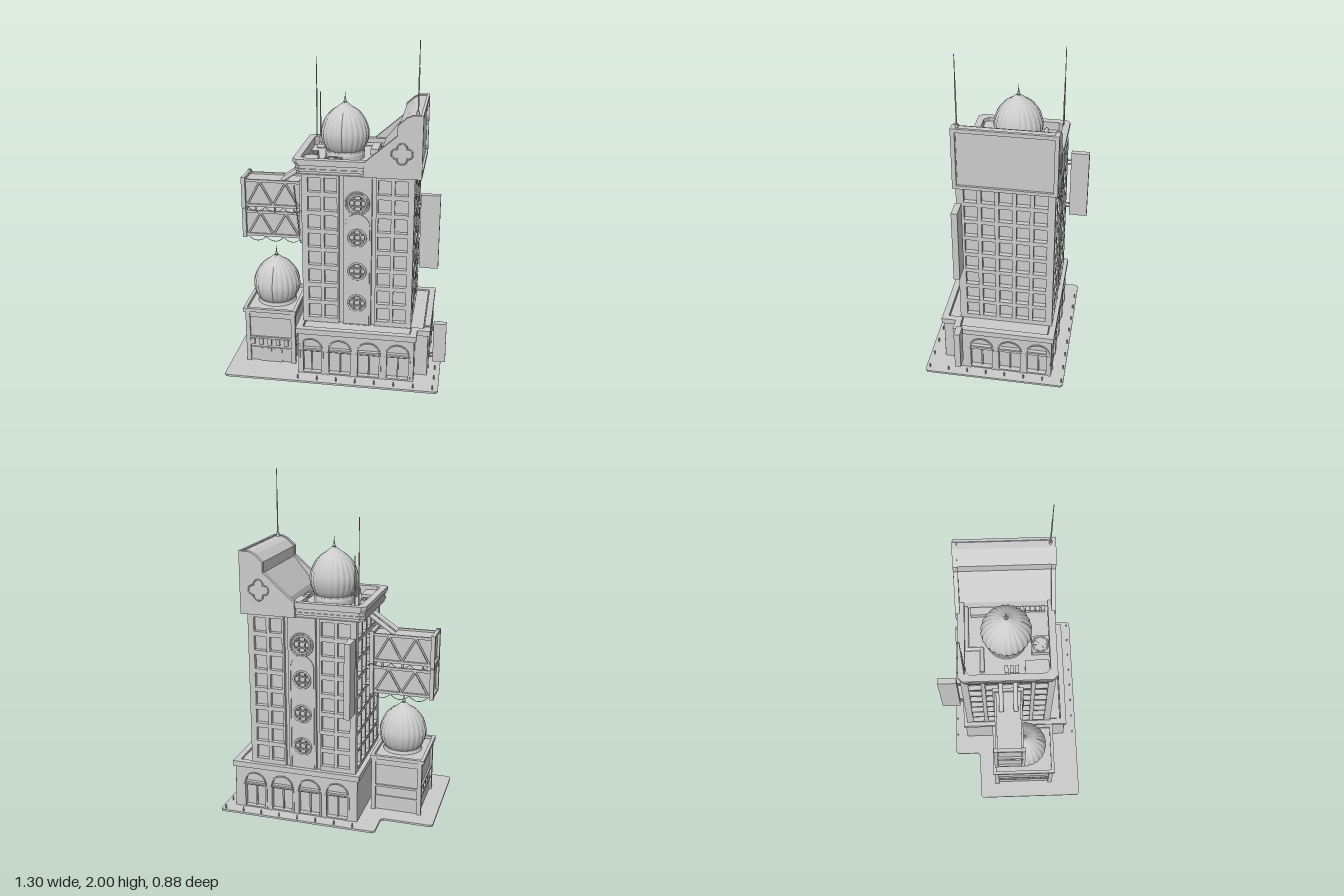
import * as THREE from 'three';

const mat = new THREE.MeshStandardMaterial({ color: 0xcccccc, side: THREE.DoubleSide });
const V = (x, y, z) => new THREE.Vector3(x, y, z);

function add(parent, name, geo, x = 0, y = 0, z = 0) {
  const m = new THREE.Mesh(geo, mat);
  m.name = name;
  m.position.set(x, y, z);
  parent.add(m);
  return m;
}
// box given by its limits
const box = (p, name, x0, x1, y0, y1, z0, z1) =>
  add(p, name, new THREE.BoxGeometry(x1 - x0, y1 - y0, z1 - z0), (x0 + x1) / 2, (y0 + y1) / 2, (z0 + z1) / 2);
// rod between two points
function rod(p, name, a, b, r, sides = 8) {
  const m = add(p, name, new THREE.CylinderGeometry(r, r, a.distanceTo(b), sides));
  m.position.copy(a).add(b).multiplyScalar(0.5);
  m.quaternion.setFromUnitVectors(V(0, 1, 0), b.clone().sub(a).normalize());
  return m;
}
const poly = (pts) => new THREE.Shape(pts.map(([x, y]) => new THREE.Vector2(x, y)));
const rect = (x0, x1, y0, y1) => poly([[x0, y0], [x1, y0], [x1, y1], [x0, y1]]);
const extrude = (shape, depth) => new THREE.ExtrudeGeometry(shape, { depth, bevelEnabled: false, curveSegments: 14 });
// horizontal slab from an (x, z) outline
function slab(p, name, pts, y0, y1, hole) {
  const s = poly(pts.map(([x, z]) => [x, -z]));
  if (hole) s.holes.push(poly(hole.map(([x, z]) => [x, -z])));
  const m = add(p, name, extrude(s, y1 - y0), 0, y0, 0);
  m.rotation.x = -Math.PI / 2;
  return m;
}
function archShape(x, w, y0, top) {
  const s = new THREE.Shape(), r = w / 2;
  s.moveTo(x - r, y0);
  s.lineTo(x + r, y0);
  s.lineTo(x + r, top - r);
  s.absarc(x, top - r, r, 0, Math.PI, false);
  s.closePath();
  return s;
}
const circle = (x, y, r) => new THREE.Shape().absarc(x, y, r, 0, Math.PI * 2, false);
// local frame of one wall: x along the wall, z outward
function wall(p, name, cx, cz, turn, dist) {
  const g = new THREE.Group();
  g.name = name;
  g.rotation.y = turn * Math.PI / 2;
  g.position.set(cx + Math.sin(g.rotation.y) * dist, 0, cz + Math.cos(g.rotation.y) * dist);
  p.add(g);
  return g;
}

// ribbed onion dome with a finial
function dome(p, name, x, y, z) {
  const g = new THREE.Group();
  g.name = name;
  g.position.set(x, y, z);
  p.add(g);
  const prof = [[0.105, 0], [0.128, 0.035], [0.142, 0.085], [0.14, 0.13], [0.12, 0.185], [0.085, 0.23], [0.045, 0.258], [0.012, 0.285]];
  const curve = new THREE.SplineCurve(prof.map(([a, b]) => new THREE.Vector2(a, b)));
  const geo = new THREE.LatheGeometry(curve.getPoints(28), 144);
  const a = geo.attributes.position;
  for (let i = 0; i < a.count; i++) {
    const k = 0.955 + 0.045 * Math.abs(Math.sin(12 * Math.atan2(a.getX(i), a.getZ(i))));
    a.setXYZ(i, a.getX(i) * k, a.getY(i), a.getZ(i) * k);
  }
  geo.computeVertexNormals();
  add(g, 'domeShell', geo);
  add(g, 'domeCollar', new THREE.CylinderGeometry(0.112, 0.118, 0.02, 40), 0, -0.002, 0);
  add(g, 'finialBall', new THREE.SphereGeometry(0.009, 12, 8), 0, 0.293, 0);
  add(g, 'finialSpike', new THREE.ConeGeometry(0.005, 0.05, 8), 0, 0.322, 0);
}

function arcade(p, name, g, x0, x1, centres) {
  const s = rect(x0, x1, 0.012, 0.28);
  centres.forEach(c => s.holes.push(archShape(c, 0.13, 0.02, 0.24)));
  add(g, name, extrude(s, 0.03));
  centres.forEach(c => {
    box(g, 'archTransom', c - 0.065, c + 0.065, 0.155, 0.175, 0, 0.022);
    box(g, 'doorPost', c - 0.004, c + 0.004, 0.012, 0.16, 0, 0.012);
    for (const k of [-1, 1]) box(g, 'archPier', c + k * 0.07 - 0.006, c + k * 0.07 + 0.006, 0.012, 0.165, 0.02, 0.036);
    const rim = archShape(c, 0.144, 0.165, 0.247);
    rim.holes.push(archShape(c, 0.13, 0.165, 0.24));
    add(g, 'archRim', extrude(rim, 0.036));
  });
}

function windowGrid(g, x0, x1, cols) {
  const s = rect(x0, x1, 0.31, 1.236);
  for (const c of cols) for (let i = 0; i < 8; i++) {
    const y = 0.385 + i * 0.113;
    s.holes.push(rect(c - 0.037, c + 0.037, y - 0.042, y + 0.042));
    box(g, 'windowSill', c - 0.04, c + 0.04, y - 0.05, y - 0.042, 0.004, 0.028);
  }
  add(g, 'windowGrid', extrude(s, 0.024));
}

function roundWindowBay(g) {
  const ys = [0.45, 0.655, 0.865, 1.075];
  const s = rect(-0.083, 0.083, 0.31, 1.236);
  ys.forEach(y => s.holes.push(circle(0, y, 0.05)));
  add(g, 'centreBay', extrude(s, 0.022));
  for (const y of ys) {
    add(g, 'roundWindowRing', new THREE.TorusGeometry(0.05, 0.006, 8, 32), 0, y, 0.022);
    for (const o of [-0.018, 0.018]) {
      box(g, 'mullion', o - 0.003, o + 0.003, y - 0.047, y + 0.047, 0.01, 0.024);
      box(g, 'crossbar', -0.047, 0.047, y + o - 0.003, y + o + 0.003, 0.01, 0.024);
    }
  }
  add(g, 'topWindowHalo', new THREE.TorusGeometry(0.067, 0.005, 8, 36), 0, 1.075, 0.022);
  const arch = archShape(0, 0.146, 0.31, 1.012);
  arch.holes.push(archShape(0, 0.134, 0.312, 1.006));
  add(g, 'tallArchTrim', extrude(arch, 0.028));
}

// one boxed truss sign
function trussBox(p, y0, y1) {
  const x0 = -0.61, x1 = -0.238, z0 = -0.115, z1 = 0.045;
  box(p, 'trussCore', x0 + 0.01, x1 - 0.01, y0 + 0.012, y1 - 0.012, z0 + 0.012, z1 - 0.012);
  for (const y of [y0 + 0.008, y1 - 0.008]) for (const z of [z0 + 0.006, z1 - 0.006])
    box(p, 'trussChord', x0, x1, y - 0.008, y + 0.008, z - 0.006, z + 0.006);
  for (const x of [x0 + 0.008, x1 - 0.008]) {
    for (const z of [z0, z1]) box(p, 'trussEndPost', x - 0.012, x + 0.012, y0 - 0.008, y1 + 0.012, z - 0.01, z + 0.01);
    for (const y of [y0, y1]) box(p, 'trussEndRail', x - 0.01, x + 0.01, y - 0.007, y + 0.01, z0, z1);
  }
  for (const z of [z0 + 0.006, z1 - 0.006]) for (let i = 0; i < 4; i++) {
    const a = x0 + 0.03 + i * 0.078, up = i % 2 === 0;
    rod(p, 'trussDiagonal', V(a, up ? y0 + 0.015 : y1 - 0.015, z), V(a + 0.078, up ? y1 - 0.015 : y0 + 0.015, z), 0.006, 6);
  }
  for (const z of [z0, z1]) for (let i = 0; i < 3; i++) {
    const a = x0 + 0.03 + i * 0.11;
    const c = new THREE.QuadraticBezierCurve3(V(a, y0, z), V(a + 0.055, y0 - 0.055, z), V(a + 0.11, y0, z));
    add(p, 'hangingWire', new THREE.TubeGeometry(c, 12, 0.002, 5));
  }
}

export function createModel() {
  const root = new THREE.Group();
  root.name = 'building';

  // pavement and bollards
  slab(root, 'pavement', [[-0.655, 0.42], [-0.64, 0.435], [0.605, 0.435], [0.62, 0.42], [0.62, -0.385], [0.605, -0.4],
    [-0.33, -0.4], [-0.345, -0.385], [-0.345, -0.25], [-0.36, -0.235], [-0.64, -0.235], [-0.655, -0.22]], 0, 0.012);
  const bollard = (x, z) => add(root, 'bollard', new THREE.CylinderGeometry(0.004, 0.004, 0.03, 8), x, 0.025, z);
  for (let i = 0; i < 8; i++) { bollard(-0.21 + i * 0.114, 0.41); bollard(-0.21 + i * 0.114, -0.388); }
  for (let i = 1; i < 7; i++) bollard(0.59, 0.41 - i * 0.114);

  // podium with a notched front corner
  const foot = (o, low = -0.32 - o) => [[-0.22 - o, 0.34 + o], [0.47 + o, 0.34 + o], [0.47 + o, 0.255 + o], [0.545 + o, 0.255 + o], [0.545 + o, low], [-0.22 - o, low]];
  slab(root, 'podiumCore', foot(-0.03), 0.012, 0.305);
  slab(root, 'podiumCornice', foot(0.012), 0.278, 0.312, foot(-0.025));
  arcade(root, 'frontArcade', wall(root, 'podiumFront', 0, 0, 0, 0.31), -0.22, 0.47, [-0.143, 0.03, 0.202, 0.375]);
  arcade(root, 'rightArcade', wall(root, 'podiumRight', 0, 0, 1, 0.515), -0.255, 0.32, [-0.1, 0.07, 0.24]);
  arcade(root, 'backArcade', wall(root, 'podiumBack', 0, 0, 2, 0.29), -0.545, 0.22, [-0.42, -0.248, -0.076, 0.096]);
  box(root, 'podiumLeftWall', -0.22, -0.19, 0.012, 0.28, -0.32, 0.34);
  box(root, 'podiumNotchWall', 0.44, 0.47, 0.012, 0.28, 0.225, 0.34);
  box(root, 'podiumNotchReturn', 0.44, 0.545, 0.012, 0.28, 0.225, 0.255);

  // tower
  const cx = 0.118, cz = -0.032, hx = 0.323, hz = 0.275;
  box(root, 'towerCore', cx - hx + 0.024, cx + hx - 0.024, 0.3, 1.25, cz - hz + 0.024, cz + hz - 0.024);
  for (const t of [0, 2]) {
    const g = wall(root, t ? 'towerBack' : 'towerFront', cx, cz, t, hz - 0.024);
    windowGrid(g, -hx, -0.106, [-0.25, -0.155]);
    windowGrid(g, 0.106, hx, [0.155, 0.25]);
    roundWindowBay(g);
  }
  for (const t of [1, 3]) windowGrid(wall(root, 'towerSide', cx, cz, t, hx - 0.024), -hz + 0.024, hz - 0.024, [-2, -1, 0, 1, 2].map(i => i * 0.098));

  // crown: stacked parapet bands around a sunken deck
  const ring = (o) => [[-0.215 - o, 0.23 + o], [0.46, 0.23 + o], [0.46, -0.295 - o], [-0.215 - o, -0.295 - o], [-0.24 - o, -0.27 - o], [-0.24 - o, 0.205 + o]];
  slab(root, 'roofDeck', ring(0), 1.232, 1.27);
  [[0, 1.232, 1.25], [0.008, 1.25, 1.265], [0.002, 1.265, 1.285], [0.01, 1.285, 1.298], [0.016, 1.298, 1.322]]
    .forEach(([o, a, b]) => slab(root, 'parapetBand', ring(o), a, b, ring(-0.024)));

  // sloped billboard block
  const wedge = poly([[0.15, 1.236], [0.47, 1.236], [0.47, 1.598], [0.42, 1.598], [0.385, 1.582], [0.338, 1.54], [0.338, 1.482], [0.153, 1.32]]);
  const inner = poly([[0.2, 1.236], [0.465, 1.236], [0.465, 1.592], [0.42, 1.592], [0.388, 1.577], [0.343, 1.536], [0.343, 1.475], [0.22, 1.32]]);
  add(root, 'billboardBlock', extrude(inner, 0.53), 0, 0, -0.3);
  for (const z of [-0.322, 0.226]) add(root, 'billboardCheek', extrude(wedge, 0.026), 0, 0, z);
  const frame = rect(-0.252, 0.32, 1.236, 1.6);
  frame.holes.push(rect(-0.229, 0.297, 1.256, 1.578));
  add(wall(root, 'billboardFrame', 0, 0, 1, 0.462), 'billboardRim', extrude(frame, 0.016));
  for (const z of [0.252, -0.322]) for (let i = 0; i < 4; i++) {
    const a = i * Math.PI / 2;
    const m = add(root, 'quatrefoilLobe', new THREE.TorusGeometry(0.028, 0.004, 6, 16, Math.PI * 1.2), 0.365 + Math.cos(a) * 0.032, 1.38 + Math.sin(a) * 0.032, z);
    m.rotation.z = a - Math.PI * 0.6;
  }

  // rooftop equipment
  dome(root, 'roofDome', 0.005, 1.312, -0.035);
  add(root, 'domeDrum', new THREE.CylinderGeometry(0.115, 0.115, 0.05, 40), 0.005, 1.288, -0.035);
  box(root, 'fanHousing', -0.09, 0.012, 1.265, 1.305, 0.105, 0.205);
  add(root, 'fanRing', new THREE.TorusGeometry(0.044, 0.005, 6, 28), -0.039, 1.307, 0.155).rotation.x = Math.PI / 2;
  for (let i = 0; i < 4; i++)
    add(root, 'fanBlade', new THREE.BoxGeometry(0.085, 0.004, 0.008), -0.039, 1.308, 0.155).rotation.y = i * Math.PI / 4;
  box(root, 'plantBox', -0.213, -0.13, 1.265, 1.3, 0.065, 0.2);
  box(root, 'longVent', 0.15, 0.197, 1.265, 1.305, -0.235, -0.085);
  for (let i = 0; i < 7; i++) box(root, 'smallVent', 0.172, 0.2, 1.265, 1.295, -0.012 + i * 0.03, 0.012 + i * 0.03);
  for (let i = 0; i < 3; i++) box(root, 'roofLouvre', -0.2, -0.155, 1.265, 1.295, -0.05 + i * 0.03, -0.03 + i * 0.03);
  const duct = [V(-0.19, 1.285, -0.175), V(-0.05, 1.285, -0.175), V(-0.05, 1.285, -0.26), V(0.2, 1.285, -0.26)];
  for (let i = 0; i < 3; i++) {
    rod(root, 'roofDuct', duct[i], duct[i + 1], 0.012, 12);
    add(root, 'ductElbow', new THREE.SphereGeometry(0.012, 12, 8)).position.copy(duct[i + 1]);
  }
  for (const [x, z, y0, y1] of [[0.445, 0.222, 1.59, 2], [-0.208, -0.275, 1.26, 1.81], [-0.185, -0.275, 1.26, 1.6]]) {
    rod(root, 'antenna', V(x, y0, z), V(x, y1, z), 0.0022);
    rod(root, 'antennaSleeve', V(x, y0, z), V(x, y0 + (y1 - y0) * 0.65, z), 0.0038);
    rod(root, 'antennaFoot', V(x, y0, z), V(x, y0 + 0.025, z), 0.009, 12);
  }

  // truss signs on the left side
  const truss = new THREE.Group();
  truss.name = 'trussSigns';
  root.add(truss);
  trussBox(truss, 0.95, 1.122);
  trussBox(truss, 0.76, 0.925);
  for (const z of [-0.075, 0.008]) {
    rod(truss, 'stay', V(-0.37, 1.115, z), V(-0.2, 1.235, z), 0.013, 12);
    for (const y of [0.8, 0.9, 0.99, 1.09]) rod(truss, 'wallBracket', V(-0.25, y, z), V(-0.19, y, z), 0.009);
    for (const x of [-0.54, -0.42, -0.3]) rod(truss, 'spacer', V(x, 0.915, z), V(x, 0.96, z), 0.006);
  }
  const cable = new THREE.CatmullRomCurve3([V(-0.29, 1.1, 0.05), V(-0.275, 0.95, 0.055), V(-0.25, 0.73, 0.05), V(-0.225, 0.86, 0.04), V(-0.205, 1.05, 0.03)]);
  add(truss, 'looseCable', new THREE.TubeGeometry(cable, 30, 0.003, 6));

  // blade signs
  function bladeSign(name, x, z, turn, reach, w, y0, y1) {
    const g = wall(root, name, x, z, turn, 0);
    box(g, 'signPanel', -0.0175, 0.0175, y0, y1, reach, reach + w);
    for (const f of [0.14, 0.84]) for (const o of [-0.012, 0.012]) {
      const y = y0 + (y1 - y0) * f + o;
      rod(g, 'signBracket', V(0, y, -0.02), V(0, y, reach + 0.01), 0.005);
    }
  }
  bladeSign('sideSign', 0.441, 0.222, 1, 0.035, 0.11, 0.705, 1.145);
  bladeSign('backSign', -0.188, -0.307, 2, 0.023, 0.11, 0.705, 1.145);
  bladeSign('streetSign', 0.545, 0.222, 1, 0.03, 0.075, 0.1, 0.35);

  // domed annex
  const annex = new THREE.Group();
  annex.name = 'annex';
  root.add(annex);
  box(annex, 'annexCore', -0.55, -0.27, 0.012, 0.35, -0.12, 0.235);
  for (const x of [-0.55, -0.27]) for (const z of [-0.12, 0.235]) box(annex, 'cornerPier', x - 0.013, x + 0.013, 0.012, 0.352, z - 0.013, z + 0.013);
  box(annex, 'annexBand', -0.56, -0.26, 0.165, 0.178, -0.13, 0.245);
  box(annex, 'annexFrieze', -0.56, -0.26, 0.31, 0.352, -0.13, 0.245);
  slab(annex, 'annexCornice', [[-0.575, 0.255], [-0.25, 0.255], [-0.25, -0.14], [-0.575, -0.14]], 0.348, 0.37,
    [[-0.555, 0.235], [-0.27, 0.235], [-0.27, -0.12], [-0.555, -0.12]]);
  box(annex, 'annexDoor', -0.478, -0.342, 0.012, 0.1, 0.23, 0.243);
  box(annex, 'doorDivider', -0.413, -0.407, 0.012, 0.1, 0.235, 0.247);
  for (let i = 0; i < 5; i++) {
    const x = -0.535 + i * 0.052;
    box(annex, 'awningTooth', x, x + 0.024, 0.125, 0.168, 0.235, 0.25);
    const z = -0.09 + i * 0.065;
    box(annex, 'sideMullion', -0.557, -0.55, 0.1, 0.168, z, z + 0.012);
  }
  box(annex, 'annexSill', -0.557, -0.263, 0.097, 0.106, -0.127, 0.242);
  dome(annex, 'annexDome', -0.405, 0.368, 0.06);
  return root;
}
